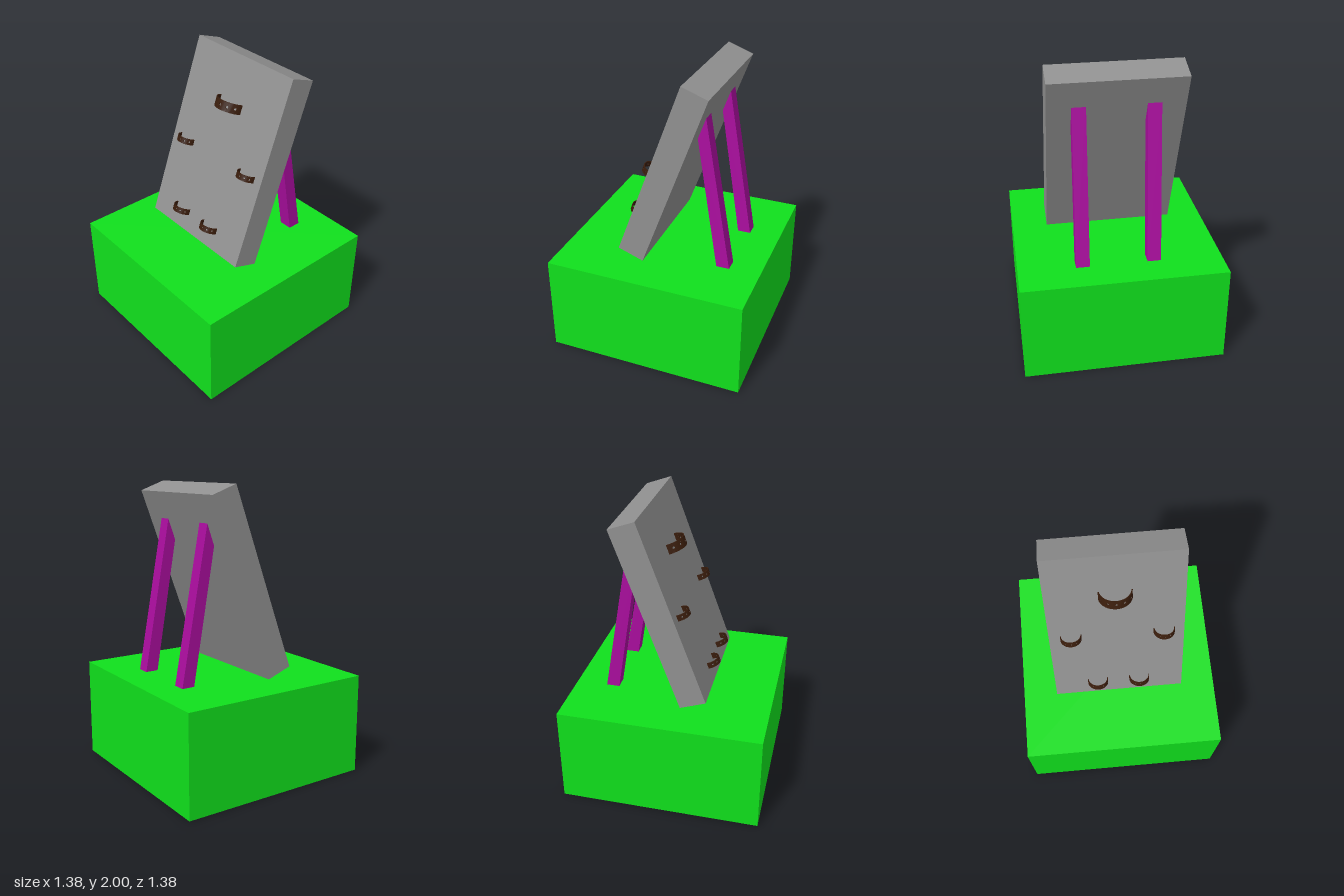
import * as THREE from 'three';
import { mergeGeometries, toCreasedNormals } from 'three/addons/utils/BufferGeometryUtils.js';

const material = (color) => new THREE.MeshStandardMaterial({ color });

function addMesh(parent, name, geometry, mat) {
  const mesh = new THREE.Mesh(geometry, mat);
  mesh.name = name;
  parent.add(mesh);
  return mesh;
}

// One section of the cuff strip between two angles, with an optional round hole,
// extruded flat and then bent around the y axis.
function cuffSection(from, to, holed) {
  const R = 0.11, H = 0.065, T = 0.008, steps = 6;
  const points = [];
  const at = (i) => R * (from + (to - from) * i / steps);
  for (let i = 0; i <= steps; i++) points.push(new THREE.Vector2(at(i), -H / 2));
  for (let i = steps; i >= 0; i--) points.push(new THREE.Vector2(at(i), H / 2));
  const shape = new THREE.Shape(points);
  if (holed) {
    shape.holes.push(new THREE.Path().absarc(R * (from + to) / 2, 0, 0.009, 0, Math.PI * 2, true));
  }
  const geometry = new THREE.ExtrudeGeometry(shape, { depth: T, bevelEnabled: false, curveSegments: 8 });
  const p = geometry.attributes.position;
  for (let i = 0; i < p.count; i++) {
    const angle = p.getX(i) / R, r = R - T + p.getZ(i);
    p.setXYZ(i, r * Math.sin(angle), p.getY(i), r * Math.cos(angle));
  }
  return geometry;
}

// Half-round strap with five holes
function cuffGeometry() {
  const d = Math.PI / 12;
  const sections = [cuffSection(-6 * d, -5 * d, false), cuffSection(5 * d, 6 * d, false)];
  for (let i = -5; i < 5; i += 2) sections.push(cuffSection(i * d, (i + 2) * d, true));
  const geometry = mergeGeometries(sections);
  geometry.computeVertexNormals();
  return toCreasedNormals(geometry, 0.5);
}

export function createModel() {
  const model = new THREE.Group();
  model.name = 'restraintBoard';
  const green = material(0x10e01c);
  const grey = material(0x909090);
  const purple = material(0xaa0d9e);
  const brown = material(0x3a1d0c);

  // Base block
  addMesh(model, 'base', new THREE.BoxGeometry(1.38, 0.692, 1.38), green).position.y = 0.346;

  // Leaning board and everything fixed to it
  const board = new THREE.Group();
  board.name = 'board';
  board.position.set(-0.001, 1.3525, -0.0425);
  board.rotation.x = -0.351;
  model.add(board);
  addMesh(board, 'slab', new THREE.BoxGeometry(0.895, 1.31, 0.187), grey);

  // Neck, wrist and ankle cuffs: x, height along board, distance from its middle, scale
  const strap = cuffGeometry();
  const cuffs = [
    ['neckCuff', 0.002, 0.325, 0.08, 1],
    ['rightWristCuff', -0.303, -0.046, 0.092, 0.64],
    ['leftWristCuff', 0.314, -0.046, 0.092, 0.64],
    ['rightAnkleCuff', -0.147, -0.506, 0.111, 0.64],
    ['leftAnkleCuff', 0.143, -0.506, 0.111, 0.64],
  ];
  for (const [name, x, y, z, s] of cuffs) {
    const cuff = addMesh(board, name, strap, brown);
    cuff.position.set(x, y, z);
    cuff.scale.setScalar(s);
  }

  // Rear props: side profile (depth, height) cut to run into the board, leaning slightly sideways
  const profile = new THREE.Shape([[0.475, 0.69], [0.279, 1.8], [0.228, 1.65], [0.385, 0.69]]
    .map(([z, y]) => new THREE.Vector2(z, y)).reverse());
  for (const [name, x] of [['rightProp', -0.225], ['leftProp', 0.258]]) {
    const geometry = new THREE.ExtrudeGeometry(profile, { depth: 0.092, bevelEnabled: false });
    geometry.translate(0, 0, -0.046).rotateY(Math.PI / 2);
    const p = geometry.attributes.position;
    for (let i = 0; i < p.count; i++) p.setX(i, p.getX(i) - 0.015 * (p.getY(i) - 0.69));
    geometry.computeVertexNormals();
    addMesh(model, name, geometry, purple).position.x = x;
  }
  return model;
}
